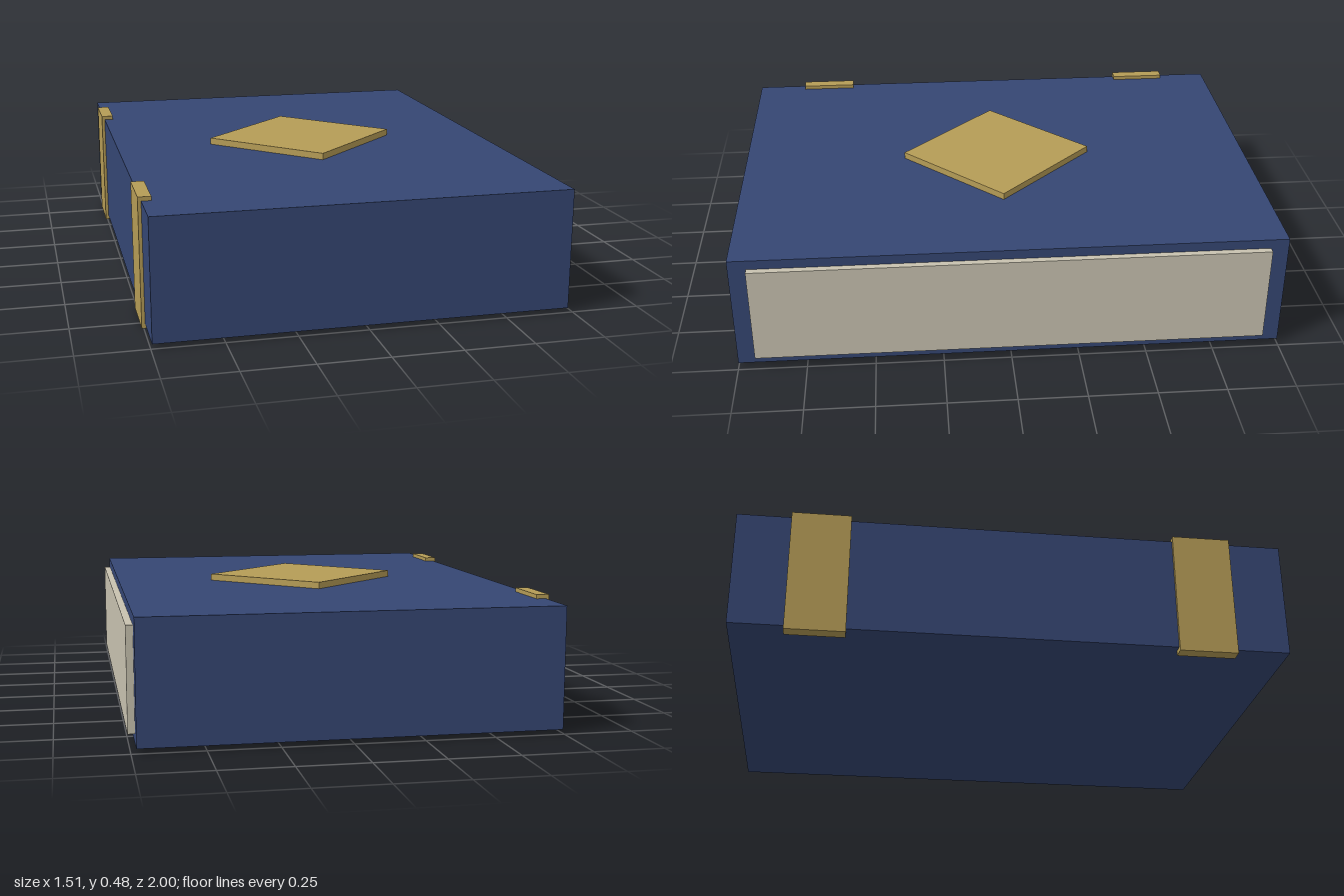
import * as THREE from 'three';

export function createModel() {
  const model = new THREE.Group();
  model.name = 'book';

  const material = (name, color) => {
    const m = new THREE.MeshStandardMaterial({ color });
    m.name = name;
    return m;
  };
  const blue = material('coverBlue', 0x354673);
  const gold = material('gold', 0xb59c56);
  const cream = material('pageCream', 0xc8c2b0);

  // Box given by its lower and upper limits on each axis
  const box = (name, mat, [x0, x1], [y0, y1], [z0, z1]) => {
    const mesh = new THREE.Mesh(new THREE.BoxGeometry(x1 - x0, y1 - y0, z1 - z0), mat);
    mesh.position.set((x0 + x1) / 2, (y0 + y1) / 2, (z0 + z1) / 2);
    mesh.name = name;
    model.add(mesh);
    return mesh;
  };

  // Cover block and the page edges standing proud of it
  box('cover', blue, [-0.745, 0.732], [0.02, 0.455], [-1, 1]);
  box('pages', cream, [0.70, 0.757], [0.055, 0.42], [-0.935, 0.935]);

  // Two bands wrapped around the spine
  for (const side of [-1, 1]) {
    const z = side * 0.698;
    box(side > 0 ? 'frontSpineBand' : 'backSpineBand', gold,
      [-0.757, -0.71], [0.003, 0.47], [z - 0.107, z + 0.107]);
  }

  // Diamond plate on the top cover
  const edge = 0.369 * Math.SQRT2;
  const diamond = box('diamondPlate', gold,
    [-0.005 - edge / 2, -0.005 + edge / 2], [0.445, 0.48], [-edge / 2, edge / 2]);
  diamond.rotation.y = Math.PI / 4;

  return model;
}
